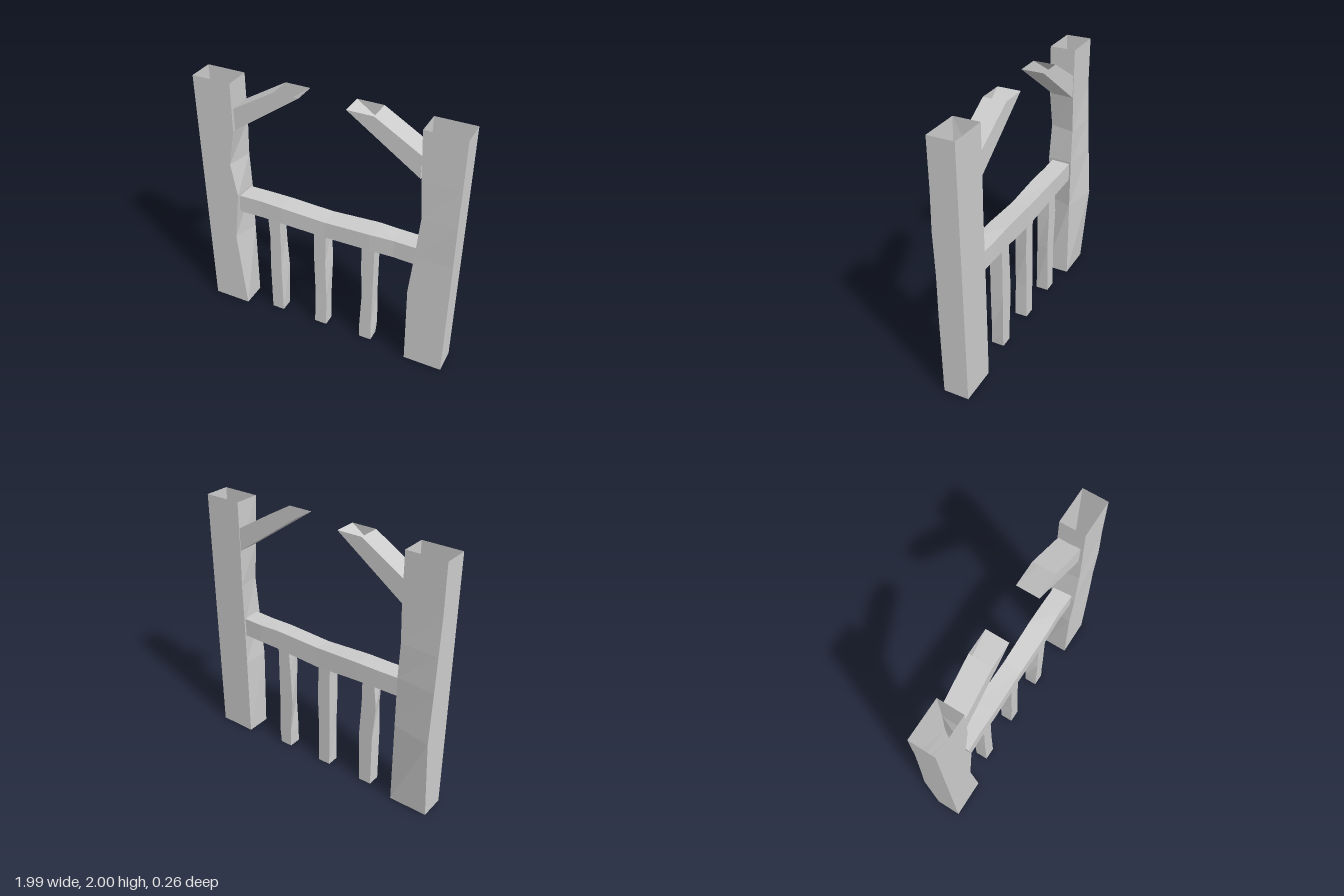
import * as THREE from 'three';

const material = new THREE.MeshStandardMaterial({ color: 0xcccccc, flatShading: true, side: THREE.DoubleSide });

// Open four-sided tube skinned over rings of four [x, y, z] corners
function timber(name, rings) {
  const pos = [];
  for (let r = 0; r < rings.length - 1; r++) {
    for (let i = 0; i < 4; i++) {
      const j = (i + 1) % 4;
      const [a, b, c, d] = [rings[r][i], rings[r][j], rings[r + 1][j], rings[r + 1][i]];
      pos.push(...a, ...b, ...c, ...a, ...c, ...d);
    }
  }
  const geo = new THREE.BufferGeometry();
  geo.setAttribute('position', new THREE.Float32BufferAttribute(pos, 3));
  geo.computeVertexNormals();
  const mesh = new THREE.Mesh(geo, material);
  mesh.name = name;
  return mesh;
}

// Upright timber: each level is [y, {corner: [dx, dz]}]
// corners: 0 front -x, 1 front +x, 2 back +x, 3 back -x
function upright(name, [x0, x1, z0, z1], levels) {
  const base = [[x0, z1], [x1, z1], [x1, z0], [x0, z0]];
  return timber(name, levels.map(([y, moves = {}]) => base.map(([x, z], i) => {
    const [dx, dz] = moves[i] || [0, 0];
    return [x + dx, y, z + dz];
  })));
}

// Horizontal timber: each station is [x, frontBottomY, backBottomY, backTopY, frontTopY, backZ, frontZ]
function beam(name, stations) {
  return timber(name, stations.map(([x, fb, bb, bt, ft, z0, z1]) =>
    [[x, fb, z1], [x, bb, z0], [x, bt, z0], [x, ft, z1]]));
}

// Diagonal brace from a post, cut level at the top
function brace(name, side, inner, outer) {
  const z0 = -0.07, z1 = 0.1;
  const low = [[side * 0.7, 1.63, z1], [side * 0.7, 1.625, z0], [side * 0.7, 1.8, z0], [side * 0.7, 1.8, z1]];
  const high = [[side * inner, 2, z1], [side * inner, 2, z0], [side * outer, 2, z0], [side * outer, 2, z1]];
  return timber(name, side < 0 ? [low, high] : [high, low]);
}

export function createModel() {
  const group = new THREE.Group();
  group.name = 'timberFrame';

  // Large posts with worn edges
  group.add(upright('rightPost', [-1, -0.7, -0.075, 0.12], [
    [0],
    [0.67, { 1: [-0.06, 0], 3: [0, -0.055] }],
    [1.07, { 1: [-0.01, 0], 3: [0, -0.03] }],
    [1.34, { 1: [-0.055, 0], 2: [-0.01, 0], 3: [0, -0.015] }],
    [1.63, { 1: [-0.003, 0] }],
    [2],
  ]));
  group.add(upright('leftPost', [0.695, 0.99, -0.075, 0.12], [
    [0],
    [0.67, { 0: [-0.015, 0], 1: [0, 0.003] }],
    [1, { 0: [0.015, 0] }],
    [1.34, { 0: [0.04, -0.005], 1: [0, 0.008], 3: [0.005, 0] }],
    [1.63, { 0: [0.018, 0] }],
    [2],
  ]));

  // Rail across the middle
  group.add(beam('rail', [
    [-0.72, 0.91, 0.91, 1.055, 1.055, -0.06, 0.09],
    [-0.54, 0.91, 0.91, 1.055, 1.055, -0.065, 0.085],
    [-0.36, 0.91, 0.907, 1.055, 1.052, -0.065, 0.09],
    [0, 0.9, 0.882, 1.045, 1.035, -0.06, 0.085],
    [0.36, 0.91, 0.907, 1.062, 1.05, -0.065, 0.09],
    [0.54, 0.91, 0.91, 1.055, 1.053, -0.065, 0.083],
    [0.715, 0.91, 0.91, 1.055, 1.055, -0.06, 0.09],
  ]));

  // Diagonal braces
  group.add(brace('rightBrace', -1, 0.18, 0.37), brace('leftBrace', 1, 0.165, 0.36));

  // Three uneven balusters under the rail
  const z = [-0.035, 0.065];
  group.add(upright('rightBaluster', [-0.49, -0.39, ...z], [
    [0],
    [0.43, { 2: [0.015, 0], 1: [-0.005, 0] }],
    [0.72, { 0: [0.01, 0], 3: [-0.022, 0] }],
    [0.91],
  ]));
  group.add(upright('middleBaluster', [-0.1, 0, ...z], [
    [0],
    [0.3, { 0: [0.008, 0], 1: [0, -0.005] }],
    [0.63, { 1: [-0.007, 0], 2: [0.012, 0] }],
    [0.91],
  ]));
  group.add(upright('leftBaluster', [0.29, 0.39, ...z], [
    [0],
    [0.13, { 1: [-0.005, 0], 2: [0.01, 0] }],
    [0.43, { 0: [0.012, 0], 3: [-0.025, 0] }],
    [0.72, { 3: [-0.012, 0] }],
    [0.91],
  ]));

  return group;
}
